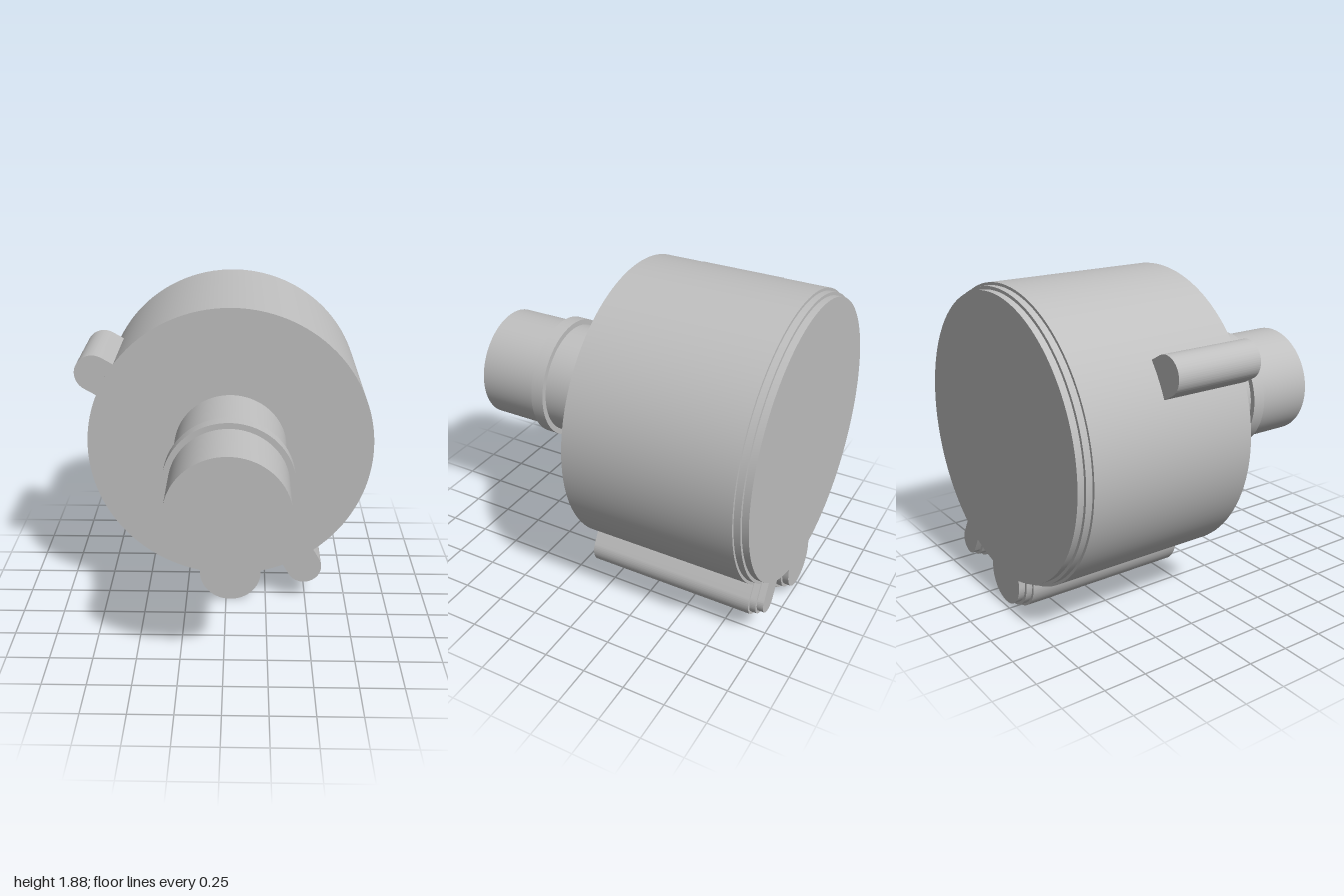
import * as THREE from 'three';
import { toCreasedNormals } from 'three/addons/utils/BufferGeometryUtils.js';

const CX = 0.027, CY = 1.035, R = 0.85, FRONT = 0.085;
const rad = THREE.MathUtils.degToRad;

// Rounded lobes: direction, distance of the round end from the axis, half width
const bigLobe = { a: rad(-90), dist: 0.845, r: 0.19 };
const smallLobe = { a: rad(-60), dist: 0.92, r: 0.108 };
const sideLobe = { a: rad(150), dist: 0.92, r: 0.108 };

// Round end of a lobe, shrunk by an inset
function lobeEnd(path, { a, dist, r }, inset) {
  path.absarc(Math.cos(a) * dist, Math.sin(a) * dist, r - inset, a - Math.PI / 2, a + Math.PI / 2, false);
}

// Housing outline: a circle with the two lower lobes, shrunk by an inset
function housingShape(inset) {
  const shape = new THREE.Shape();
  const lobes = [bigLobe, smallLobe];
  const half = (l) => Math.asin((l.r - inset) / (R - inset));
  lobes.forEach((l, i) => {
    lobeEnd(shape, l, inset);
    const next = lobes[(i + 1) % lobes.length];
    const end = next.a - half(next) + (i === lobes.length - 1 ? Math.PI * 2 : 0);
    shape.absarc(0, 0, R - inset, l.a + half(l), end, false);
  });
  shape.closePath();
  return shape;
}

// Side lug outline: round end closed by the housing's own arc
function lugShape() {
  const shape = new THREE.Shape();
  const h = Math.asin(sideLobe.r / R);
  lobeEnd(shape, sideLobe, 0);
  shape.absarc(0, 0, R, sideLobe.a + h, sideLobe.a - h, true);
  shape.closePath();
  return shape;
}

export function createModel() {
  const group = new THREE.Group();
  const grey = new THREE.MeshStandardMaterial({ color: 0xbfbfbf });
  grey.name = 'grey';

  const add = (name, geometry) => {
    const mesh = new THREE.Mesh(geometry, grey);
    mesh.name = name;
    mesh.position.set(CX, CY, 0);
    group.add(mesh);
  };
  const extrude = (name, shape, z0, z1) => {
    const g = new THREE.ExtrudeGeometry(shape, { depth: z1 - z0, bevelEnabled: false, curveSegments: 48 });
    add(name, toCreasedNormals(g.translate(0, 0, z0), rad(30)));
  };
  const cylinder = (name, r, z0, z1) => {
    const g = new THREE.CylinderGeometry(r, r, z1 - z0, 96);
    add(name, g.rotateX(Math.PI / 2).translate(0, 0, (z0 + z1) / 2));
  };

  // Housing with two stepped tiers at the back
  extrude('housing', housingShape(0), -0.925, FRONT);
  extrude('backStepOuter', housingShape(0.016), -0.962, -0.925);
  extrude('backStepInner', housingShape(0.034), -1, -0.962);

  // Short lug on the side
  extrude('sideLug', lugShape(), -0.455, FRONT);

  // Front spigot and its collar
  cylinder('spigot', 0.334, FRONT, 1);
  cylinder('spigotCollar', 0.367, 0.542, 0.622);

  return group;
}
